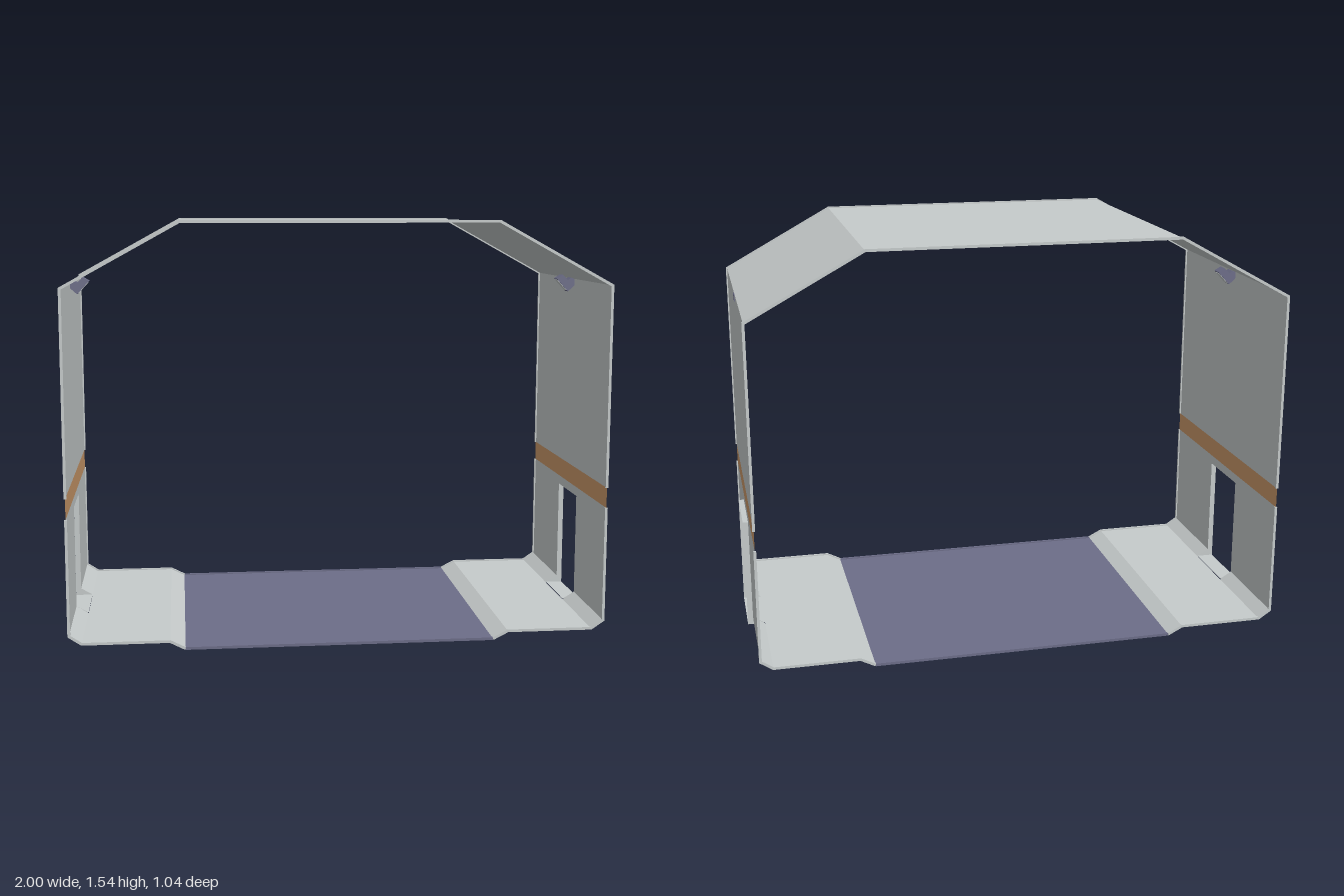
import * as THREE from 'three';

const mat = (name, color) => {
  const m = new THREE.MeshStandardMaterial({ color, side: THREE.DoubleSide });
  m.name = name;
  return m;
};

export function createModel() {
  const grey = mat('panelGrey', 0xc6cbcb);
  const orange = mat('stripeOrange', 0xcc9a6a);
  const navy = mat('floorNavy', 0x6c6d88);

  const model = new THREE.Group();
  model.name = 'corridorSection';
  const Z = 0.52, DOOR = 0.128, SILL = 0.038, HEAD = 0.455, WALL = 0.98, OUT = 1.0;

  // Cross-section on the +x side, running from the floor up to the roof
  const floorEdge = [0.565, 0.007], step = [0.62, 0.035], toe = [0.935, 0.035], base = [WALL, 0.065];
  const stripeLow = [WALL, 0.49], stripeHigh = [WALL, 0.565], eave = [WALL, 1.305], ridge = [0.565, 1.534];

  const add = (name, geo, m, parent = model) => {
    const mesh = new THREE.Mesh(geo, m);
    mesh.name = name;
    parent.add(mesh);
    return mesh;
  };

  // Flat sheet swept along z between two cross-section points
  const sheet = (a, b, z0 = -Z, z1 = Z) => {
    const g = new THREE.BufferGeometry();
    g.setAttribute('position', new THREE.Float32BufferAttribute(
      [...a, z1, ...a, z0, ...b, z0, ...b, z1], 3));
    g.setIndex([0, 1, 2, 0, 2, 3]);
    g.computeVertexNormals();
    return g;
  };

  const shapeOf = pts => new THREE.Shape(pts.map(p => new THREE.Vector2(...p)));

  // Thin mitred band along a path, used for the end rims
  const band = (pts, t = 0.005, depth = 0.009) => {
    const n = pts.length;
    const normal = (i) => {
      const dx = pts[i + 1][0] - pts[i][0], dy = pts[i + 1][1] - pts[i][1], l = Math.hypot(dx, dy);
      return [dy / l, -dx / l];
    };
    const offset = (s) => pts.map((p, i) => {
      const a = normal(Math.max(i - 1, 0)), b = normal(Math.min(i, n - 2));
      const k = s * t / (1 + a[0] * b[0] + a[1] * b[1]);
      return [p[0] + (a[0] + b[0]) * k, p[1] + (a[1] + b[1]) * k];
    });
    return new THREE.ExtrudeGeometry(shapeOf([...offset(1), ...offset(-1).reverse()]),
      { depth, bevelEnabled: false });
  };

  const mirror = ([x, y]) => [-x, y];

  // Central floor and roof
  add('floorPanel', sheet(mirror(floorEdge), floorEdge), navy);
  add('roofPanel', sheet(ridge, mirror(ridge)), grey);

  // Everything on one side; the other side is the same turned half round
  const buildSide = (name) => {
    const side = new THREE.Group();
    side.name = name;
    add('floorSlope', sheet(floorEdge, step), grey, side);
    add('sideFloor', sheet(step, toe), grey, side);
    for (const s of [-1, 1]) {
      const z0 = s < 0 ? -Z : DOOR, z1 = s < 0 ? -DOOR : Z;
      add('skirting', sheet(toe, base, z0, z1), grey, side);
    }

    // Lower wall with the doorway cut out of it
    const wall = shapeOf([[-Z, base[1]], [-DOOR, base[1]], [-DOOR, HEAD], [DOOR, HEAD],
      [DOOR, base[1]], [Z, base[1]], [Z, stripeLow[1]], [-Z, stripeLow[1]]]);
    const lower = add('lowerWall', new THREE.ShapeGeometry(wall), grey, side);
    lower.rotation.y = Math.PI / 2;
    lower.position.x = WALL;

    add('wallStripe', sheet(stripeLow, stripeHigh), orange, side);
    add('upperWall', sheet(stripeHigh, eave), grey, side);
    add('roofSlope', sheet(eave, ridge), grey, side);

    // Door sleeve: sill, head and two jambs
    add('doorSill', sheet([toe[0], SILL], [OUT, SILL], -DOOR, DOOR), grey, side);
    add('doorHead', sheet([OUT, HEAD], [WALL, HEAD], -DOOR, DOOR), grey, side);
    const jamb = shapeOf([[toe[0], SILL], [OUT, SILL], [OUT, HEAD], [WALL, HEAD], base]);
    for (const z of [-DOOR, DOOR]) {
      add('doorJamb', new THREE.ShapeGeometry(jamb), grey, side).position.z = z;
    }

    // Lamp tucked under the eave, with a pale lens
    const lamp = shapeOf([[0.955, 1.256], [0.983, 1.281], [0.983, 1.303], [0.967, 1.31],
      [0.954, 1.3], [0.934, 1.321], [0.909, 1.306]]);
    const body = new THREE.ExtrudeGeometry(lamp, { depth: 0.046, bevelEnabled: false });
    add('lampBody', body, navy, side).position.z = -0.023;
    const lens = add('lampLens', new THREE.BoxGeometry(0.054, 0.003, 0.036), grey, side);
    lens.position.set(0.932, 1.281, 0);
    lens.rotation.z = Math.atan2(-0.05, 0.046);
    return side;
  };
  const left = buildSide('leftSide');
  const right = buildSide('rightSide');
  right.rotation.y = Math.PI;
  model.add(left, right);

  // Rims around both open ends, broken at the stripes
  const lowPath = [floorEdge, step, toe, base, stripeLow];
  const highPath = [stripeHigh, eave, ridge];
  for (const z of [-Z, Z - 0.009]) {
    const rim = new THREE.Group();
    rim.name = z < 0 ? 'backRim' : 'frontRim';
    rim.position.z = z;
    add('roofRim', band([...highPath, ...highPath.map(mirror).reverse()]), grey, rim);
    add('leftRim', band(lowPath), grey, rim);
    add('rightRim', band(lowPath.map(mirror).reverse()), grey, rim);
    add('floorRim', band([mirror(floorEdge), floorEdge]), navy, rim);
    model.add(rim);
  }
  return model;
}
